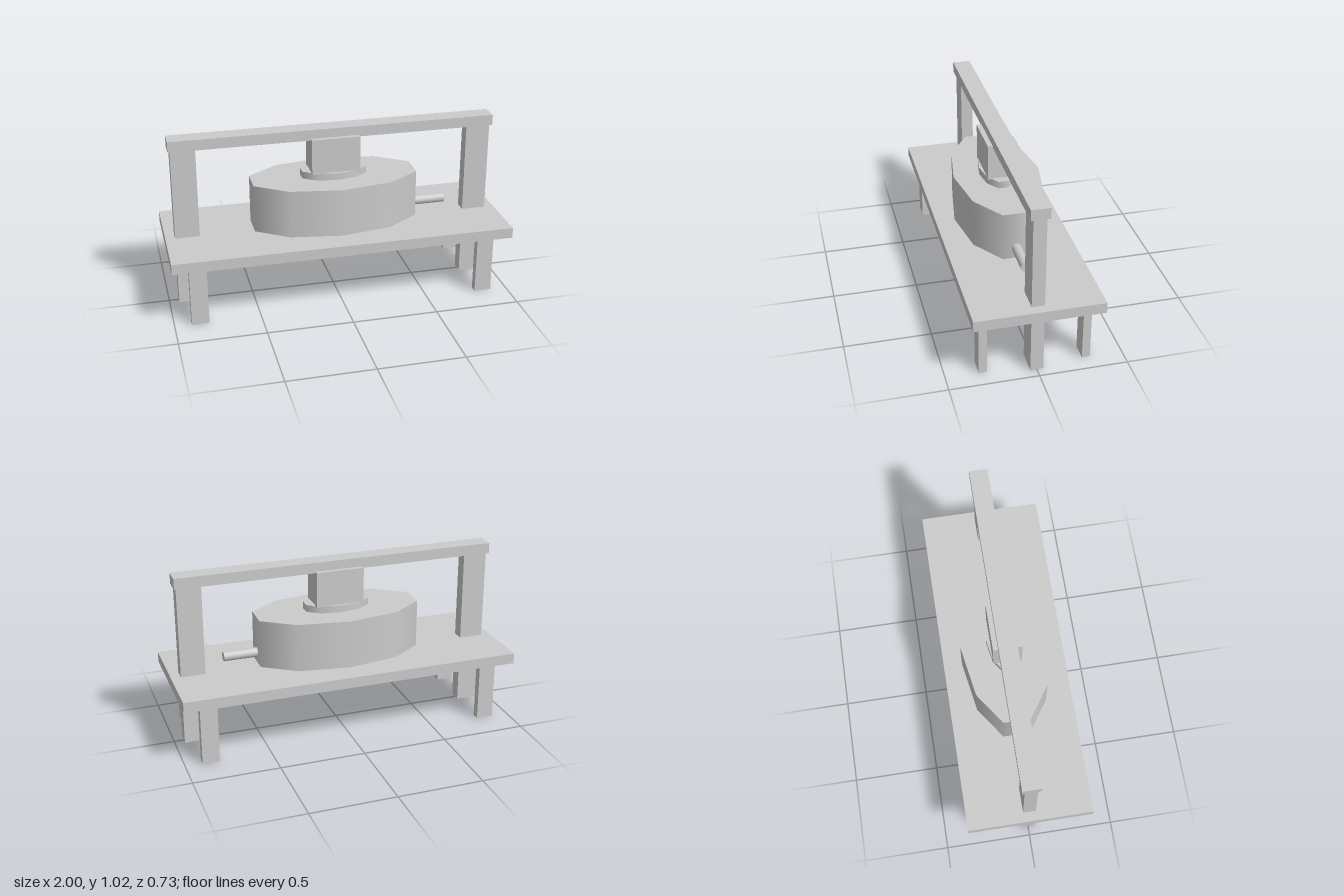
import * as THREE from 'three';

export function createModel() {
  const model = new THREE.Group();
  const material = new THREE.MeshStandardMaterial({ color: 0xcccccc });

  const add = (name, geometry, x, y, z) => {
    const mesh = new THREE.Mesh(geometry, material);
    mesh.name = name;
    mesh.position.set(x, y, z);
    model.add(mesh);
    return mesh;
  };
  // Box given by its width, depth and vertical extent
  const box = (name, w, d, y0, y1, x = 0, z = 0) =>
    add(name, new THREE.BoxGeometry(w, y1 - y0, d), x, (y0 + y1) / 2, z);
  // Ten-sided upright drum stretched to an oval
  const oval = (name, rx, rz, y0, y1) =>
    add(name, new THREE.CylinderGeometry(1, 1, y1 - y0, 10).scale(rx, 1, rz), 0, (y0 + y1) / 2, 0);

  // Table and overhead beam
  box('tableTop', 2, 0.726, 0.357, 0.42);
  box('crossBeam', 1.91, 0.107, 0.957, 1.02);

  // Posts run from the floor through the table to the beam; legs at the corners
  for (const side of [-1, 1]) {
    box('post', 0.143, 0.073, 0, 0.957, side * 0.872);
    for (const end of [-1, 1]) box('leg', 0.1, 0.046, 0, 0.357, side * 0.852, end * 0.292);
  }

  // Oval tub with pressing plate and block
  oval('tub', 0.51, 0.254, 0.434, 0.719);
  oval('pressPlate', 0.2, 0.102, 0.719, 0.761);
  box('pressBlock', 0.285, 0.164, 0.755, 0.967);

  // Drain spout on the model's left end
  const spout = add('spout', new THREE.CylinderGeometry(0.028, 0.028, 0.25, 16), 0.56, 0.497, 0);
  spout.rotation.z = Math.PI / 2;

  return model;
}
